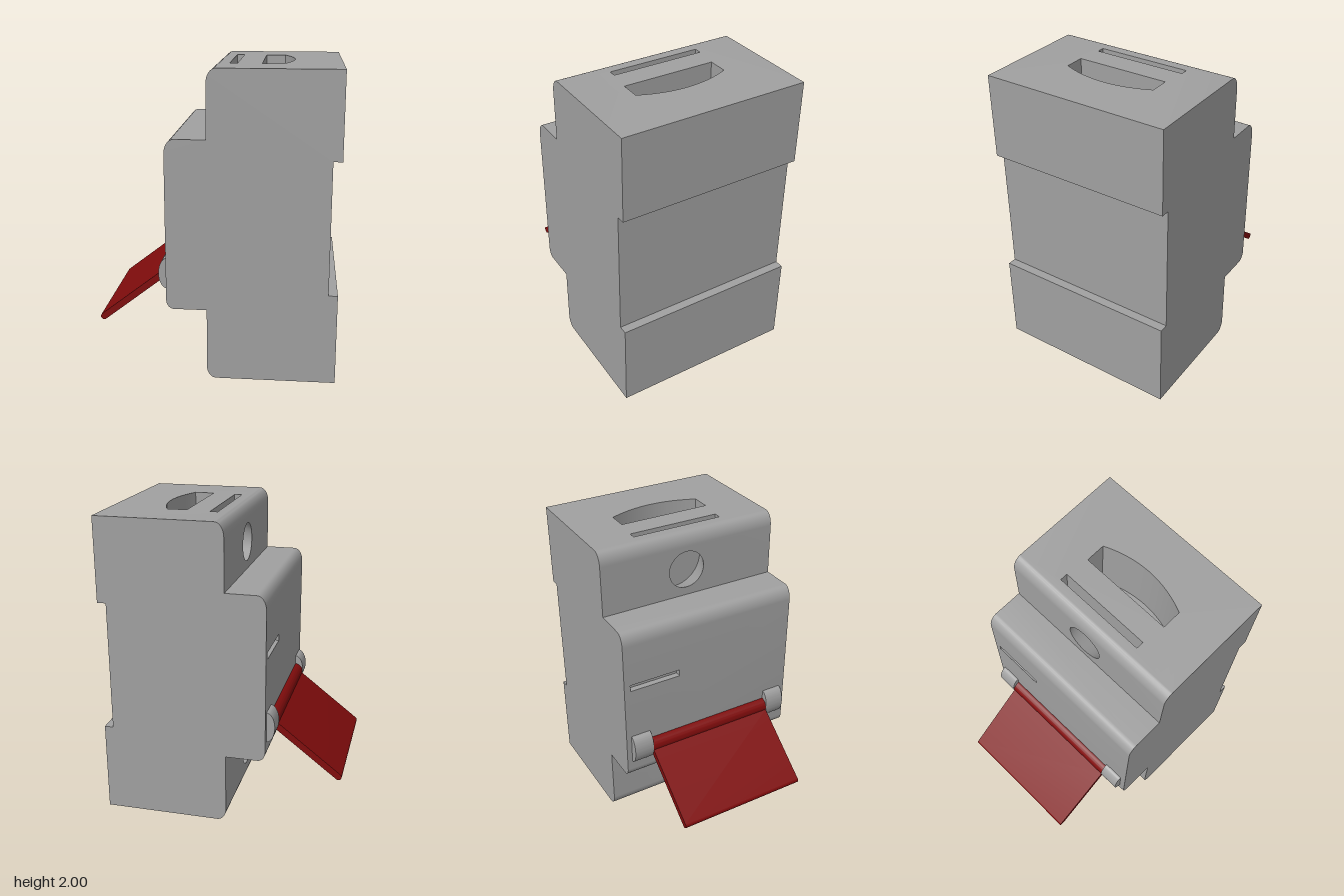
import * as THREE from 'three';
import { mergeGeometries, toCreasedNormals } from 'three/addons/utils/BufferGeometryUtils.js';

const HALF = 0.62; // half width along z
const V2 = (x, y) => new THREE.Vector2(x, y);
const V3 = (x, y, z) => new THREE.Vector3(x, y, z);

// quarter-ellipse corner from p to q, bulging toward the corner point c
function corner(p, q, c, n = 8) {
  const o = V2(p[0] + q[0] - c[0], p[1] + q[1] - c[1]);
  return Array.from({ length: n + 1 }, (_, i) => {
    const t = (i / n) * Math.PI / 2;
    return V2(
      o.x + (p[0] - o.x) * Math.cos(t) + (q[0] - o.x) * Math.sin(t),
      o.y + (p[1] - o.y) * Math.cos(t) + (q[1] - o.y) * Math.sin(t));
  });
}

// wall swept along z over a line of points, facing right of the walking direction
function wall(points, z0, z1, scale0 = 1) {
  const pos = [];
  for (let i = 0; i < points.length - 1; i++) {
    const p = points[i], q = points[i + 1];
    const a = [p.x * scale0, p.y * scale0, z0], b = [q.x * scale0, q.y * scale0, z0];
    const c = [q.x, q.y, z1], d = [p.x, p.y, z1];
    pos.push(...a, ...b, ...c, ...a, ...c, ...d);
  }
  const g = new THREE.BufferGeometry();
  g.setAttribute('position', new THREE.Float32BufferAttribute(pos, 3));
  return g;
}

// flat face with holes, positions only
function face(points, holes = [], z = 0) {
  const shape = new THREE.Shape(points);
  holes.forEach(h => shape.holes.push(new THREE.Path(h)));
  const g = new THREE.ShapeGeometry(shape).toNonIndexed().translate(0, 0, z);
  g.deleteAttribute('uv');
  g.deleteAttribute('normal');
  return g;
}

const rect = (w, h) => [V2(-w / 2, -h / 2), V2(w / 2, -h / 2), V2(w / 2, h / 2), V2(-w / 2, h / 2)];
const circle = (r, n = 40) => Array.from({ length: n }, (_, i) =>
  V2(r * Math.cos(i / n * 2 * Math.PI), r * Math.sin(i / n * 2 * Math.PI)));

// D-shaped opening: straight on one side, bowed on the other
function dShape() {
  const pts = [V2(-0.1, -0.31)];
  for (let i = 0; i <= 16; i++) {
    const v = -0.31 + 0.62 * i / 16;
    pts.push(V2(0.1 - 0.07 * (v / 0.31) ** 2, v));
  }
  pts.push(V2(-0.1, 0.31));
  return pts;
}

// panel u0..u1 by v0..v1 with recessed pockets, placed by a basis
function panel(u0, u1, v0, v1, pockets, u, v, origin) {
  const outline = [V2(u0, v0), V2(u1, v0), V2(u1, v1), V2(u0, v1)];
  const holes = pockets.map(p => p.points.map(q => V2(q.x + p.at[0], q.y + p.at[1])));
  const parts = [face(outline, holes)];
  for (const { points, at, depth, flare = 1 } of pockets) {
    const loop = [...points, points[0]].reverse();
    const floor = points.map(q => V2(q.x * flare, q.y * flare));
    parts.push(wall(loop, -depth, 0, flare).translate(at[0], at[1], 0));
    parts.push(face(floor, [], -depth).translate(at[0], at[1], 0));
  }
  const m = new THREE.Matrix4().makeBasis(u, v, V3().crossVectors(u, v)).setPosition(origin);
  return mergeGeometries(parts).applyMatrix4(m);
}

function extrude(shape, z0, z1) {
  const g = new THREE.ExtrudeGeometry(shape, { depth: z1 - z0, bevelEnabled: false, curveSegments: 20 });
  return toCreasedNormals(g.translate(0, 0, z0), 0.6);
}

function housingGeometry() {
  // profile runs between the panels, counter-clockwise
  const runs = [
    [V2(0.785, 0), V2(0.785, 0.595), V2(0.727, 0.595), V2(0.727, 1.45), V2(0.785, 1.45), V2(0.785, 2)],
    corner([0.02, 2], [-0.04, 1.91], [-0.04, 2]),
    [V2(-0.04, 1.57), ...corner([-0.24, 1.57], [-0.3, 1.48], [-0.3, 1.57])],
    [...corner([-0.3, 0.53], [-0.25, 0.47], [-0.3, 0.47]), V2(-0.04, 0.47)],
    corner([-0.04, 0.08], [0.02, 0], [-0.04, 0]),
  ];
  const outline = runs.flat();
  const X = V3(1, 0, 0), Y = V3(0, 1, 0), Z = V3(0, 0, 1);

  // wire opening and slot, used on top and bottom
  const terminal = side => [
    { points: dShape(), at: [0.38, 0], depth: 0.45 },
    { points: rect(0.05, 0.62), at: [0.1, 0.02 * side], depth: 0.47 },
  ];
  // flared screw access hole
  const screw = y => [{ points: circle(0.125), at: [-0.02, y], depth: 0.3, flare: 2 }];
  const slot = [{ points: rect(0.355, 0.045), at: [-0.4, 1.175], depth: 0.04 }];

  const parts = [
    ...runs.map(r => wall(r, -HALF, HALF)),
    face(outline, [], HALF),
    face(outline, [], 0).rotateY(Math.PI).scale(-1, 1, 1).translate(0, 0, -HALF),
    panel(0.02, 0.785, -HALF, HALF, terminal(1), X, Z.clone().negate(), V3(0, 2, 0)),
    panel(0.02, 0.785, -HALF, HALF, terminal(-1), X, Z, V3(0, 0, 0)),
    panel(-HALF, HALF, 1.57, 1.91, screw(1.75), Z, Y, V3(-0.04, 0, 0)),
    panel(-HALF, HALF, 0.53, 1.48, slot, Z, Y, V3(-0.3, 0, 0)),
    panel(-HALF, HALF, 0.08, 0.47, screw(0.25), Z, Y, V3(-0.04, 0, 0)),
  ];
  // turn the back cap to face -z
  const back = parts[runs.length + 1].attributes.position;
  for (let i = 0; i < back.count; i += 3) {
    const a = V3().fromBufferAttribute(back, i), b = V3().fromBufferAttribute(back, i + 1);
    const c = V3().fromBufferAttribute(back, i + 2);
    if (V3().crossVectors(b.clone().sub(a), c.clone().sub(a)).z > 0) {
      back.setXYZ(i + 1, c.x, c.y, c.z);
      back.setXYZ(i + 2, b.x, b.y, b.z);
    }
  }
  return toCreasedNormals(mergeGeometries(parts), 0.6);
}

export function createModel() {
  const grey = new THREE.MeshStandardMaterial({ color: 0xa0a0a0 });
  grey.name = 'housing grey';
  const red = new THREE.MeshStandardMaterial({ color: 0x800c0c });
  red.name = 'lever dark red';

  const model = new THREE.Group();
  model.name = 'circuitBreaker';
  const add = (name, geometry, material) => {
    const mesh = new THREE.Mesh(geometry, material);
    mesh.name = name;
    model.add(mesh);
    return mesh;
  };

  add('housing', housingGeometry(), grey);

  // rounded lugs holding the lever at both ends
  const lug = new THREE.Shape();
  lug.absellipse(-0.298, 0.694, 0.056, 0.102, Math.PI / 2, Math.PI * 1.5, false);
  add('leverLugLeft', extrude(lug, 0.445, 0.58), grey);
  add('leverLugRight', extrude(lug, -0.585, -0.45), grey);

  // lever: round hub running into a flat paddle with a rounded tip
  const hub = 0.055, half = 0.022, a = Math.asin(half / hub);
  const lever = new THREE.Shape();
  lever.absarc(0, 0, hub, a - Math.PI, Math.PI - a, false);
  lever.absarc(-0.577, 0, half, Math.PI / 2, Math.PI * 1.5, false);
  const leverMesh = add('lever', extrude(lever, -0.45, 0.445), red);
  leverMesh.position.set(-0.297, 0.68, 0);
  leverMesh.rotation.z = 0.66;

  return model;
}
